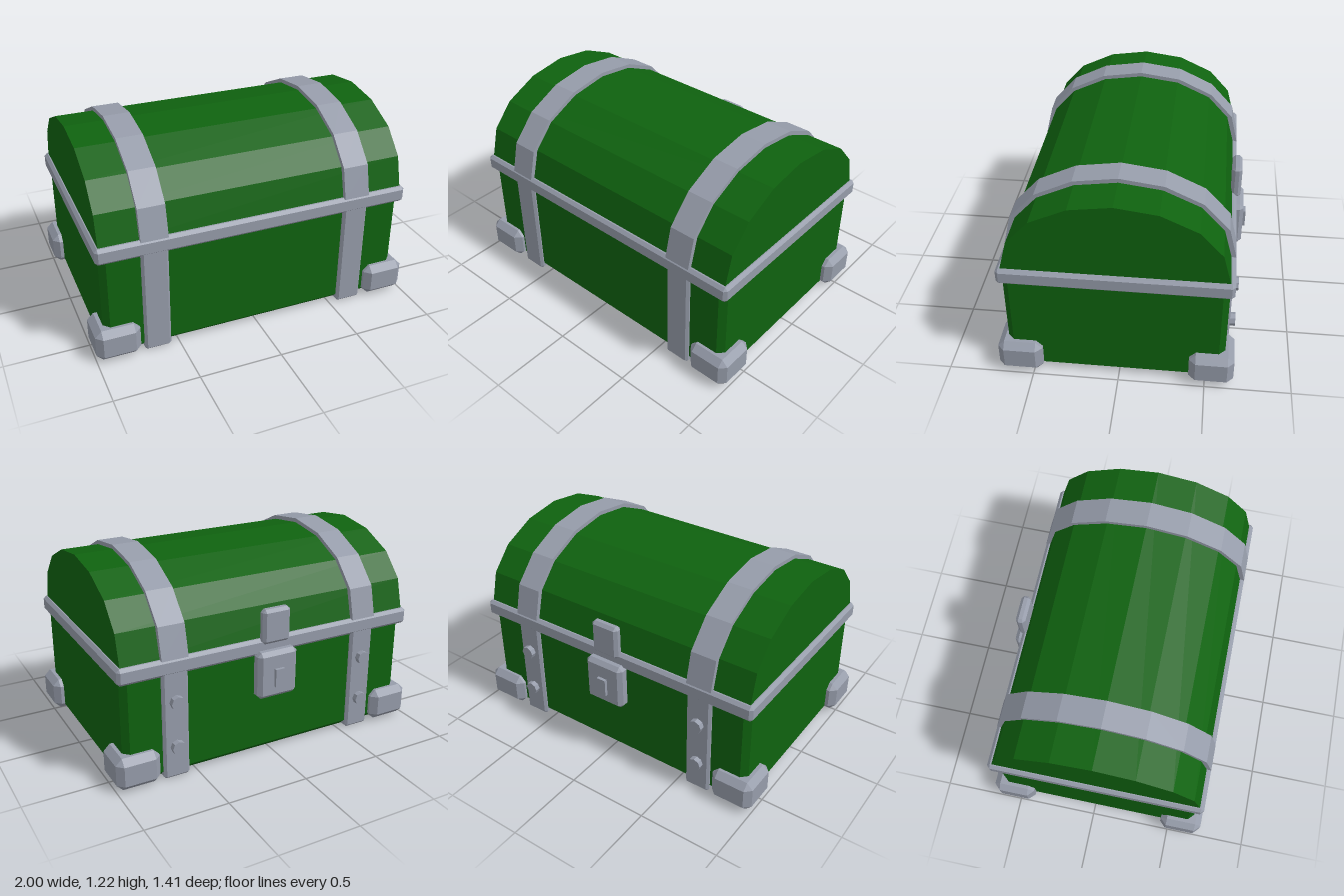
import * as THREE from 'three';
import { ConvexGeometry } from 'three/addons/geometries/ConvexGeometry.js';

// Box between two corners with every edge chamfered by c
function chamferBox(min, max, c) {
  const pts = [];
  for (let i = 0; i < 8; i++) {
    const s = [i & 1, (i >> 1) & 1, (i >> 2) & 1];
    for (let face = 0; face < 3; face++) {
      const p = s.map((hi, a) => {
        const inset = a === face ? 0 : c;
        return hi ? max[a] - inset : min[a] + inset;
      });
      pts.push(new THREE.Vector3(...p));
    }
  }
  return new ConvexGeometry(pts);
}

// Solid arch from a [z, y] profile, extruded from x0 to x1
function arch(profile, x0, x1) {
  const shape = new THREE.Shape(profile.map(([z, y]) => new THREE.Vector2(-z, y)));
  const geo = new THREE.ExtrudeGeometry(shape, { depth: x1 - x0, bevelEnabled: false });
  return geo.rotateY(Math.PI / 2).translate(x0, 0, 0);
}

export function createModel() {
  const chest = new THREE.Group();
  chest.name = 'chest';
  const green = new THREE.MeshStandardMaterial({ color: 0x0f620f });
  green.name = 'green paint';
  const steel = new THREE.MeshStandardMaterial({ color: 0x969caa });
  steel.name = 'grey metal';

  const add = (name, geo, mat) => {
    const mesh = new THREE.Mesh(geo, mat);
    mesh.name = name;
    chest.add(mesh);
    return mesh;
  };

  const midZ = 0.02;
  // Half profiles as [offset from the middle, height]
  const mirror = (half) => [
    ...half.map(([d, y]) => [midZ + d, y]),
    ...half.slice(0, -1).reverse().map(([d, y]) => [midZ - d, y]),
  ];
  const lidProfile = mirror([[0.63, 0.73], [0.58, 0.918], [0.45, 1.06], [0.24, 1.157], [0, 1.19]]);
  const bandProfile = mirror([[0.655, 0.735], [0.61, 0.92], [0.465, 1.078], [0.25, 1.18], [0, 1.215]]);

  // Box, domed lid and the rim between them
  add('body', chamferBox([-0.94, 0.008, -0.61], [0.94, 0.70, 0.65], 0.036), green);
  add('lid', arch(lidProfile, -0.94, 0.94), green);
  add('rim', chamferBox([-0.965, 0.64, -0.635], [0.965, 0.74, 0.675], 0.018), steel);

  for (const side of [-1, 1]) {
    const label = side > 0 ? 'left' : 'right';
    const x0 = side > 0 ? 0.55 : -0.71;
    // Bands over the lid and around the body
    add(label + 'LidBand', arch(bandProfile, x0, x0 + 0.16), steel);
    add(label + 'BodyBand', chamferBox([x0, 0, -0.632], [x0 + 0.16, 0.69, 0.672], 0.014), steel);

    // Corner guards
    const xs = side > 0 ? [0.735, 1] : [-1, -0.735];
    add(label + 'FrontCorner', chamferBox([xs[0], 0.011, 0.445], [xs[1], 0.21, 0.705], 0.038), steel);
    add(label + 'BackCorner', chamferBox([xs[0], 0.011, -0.665], [xs[1], 0.21, -0.405], 0.038), steel);

    // Rivets on the latch side
    for (const y of [0.2, 0.48]) {
      const rivet = new THREE.CylinderGeometry(0.041, 0.041, 0.05, 8).toNonIndexed();
      rivet.rotateX(Math.PI / 2).translate(side * 0.63, y, -0.64);
      rivet.computeVertexNormals();
      add(label + 'Rivet', rivet, steel);
    }
  }

  // Latch: hasp on the lid, lock plate and raised key cover
  add('hasp', chamferBox([-0.09, 0.71, -0.66], [0.09, 0.92, -0.60], 0.018), steel);
  add('lockPlate', chamferBox([-0.13, 0.38, -0.686], [0.13, 0.67, -0.60], 0.024), steel);
  add('keyCover', new THREE.BoxGeometry(0.06, 0.11, 0.04).translate(0, 0.51, -0.685), steel);

  return chest;
}
